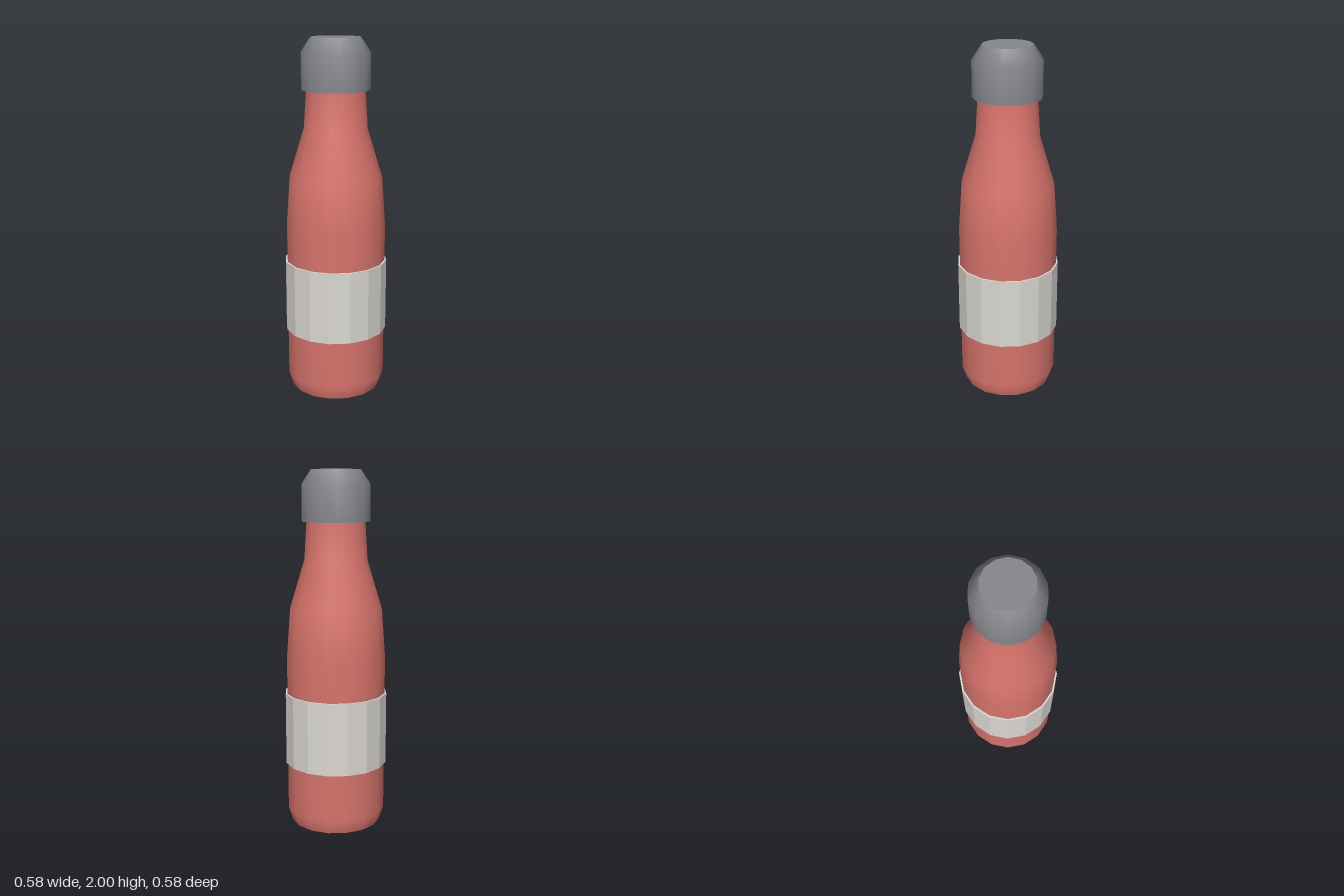
import * as THREE from 'three';
import { mergeGeometries } from 'three/addons/utils/BufferGeometryUtils.js';

// Turned solid: each section is a smooth profile, with sharp edges between sections
function turned(sections, sides) {
  const parts = sections.map(points =>
    new THREE.LatheGeometry(points.map(([r, y]) => new THREE.Vector2(r, y)), sides));
  return mergeGeometries(parts).rotateY(Math.PI / 2);
}

function addPart(group, name, geometry, material) {
  const mesh = new THREE.Mesh(geometry, material);
  mesh.name = name;
  group.add(mesh);
}

export function createModel() {
  const red = new THREE.MeshStandardMaterial({ color: 0xd8746c });
  red.name = 'coral red';
  const grey = new THREE.MeshStandardMaterial({ color: 0x85878b });
  grey.name = 'steel grey';
  const pale = new THREE.MeshStandardMaterial({ color: 0xdbd8d2 });
  pale.name = 'pale grey';

  const bottle = new THREE.Group();
  bottle.name = 'bottle';

  // Body: flat base, chamfered foot, straight wall, shoulder and neck
  addPart(bottle, 'body', turned([
    [[0, 0], [0.255, 0]],
    [[0.255, 0], [0.28, 0.08], [0.28, 0.97], [0.26, 1.24], [0.177, 1.51], [0.163, 1.74]],
  ], 16), red);

  // Faceted sleeve around the lower body
  const sleeve = turned([
    [[0.279, 0.35], [0.29, 0.35], [0.29, 0.76], [0.279, 0.76]],
  ], 16).toNonIndexed();
  sleeve.computeVertexNormals();
  addPart(bottle, 'sleeve', sleeve, pale);

  // Cap: flat underside, smooth chamfered side, flat top
  addPart(bottle, 'cap', turned([
    [[0, 1.72], [0.191, 1.72]],
    [[0.191, 1.72], [0.191, 1.92], [0.137, 2]],
    [[0.137, 2], [0, 2]],
  ], 14), grey);

  return bottle;
}
